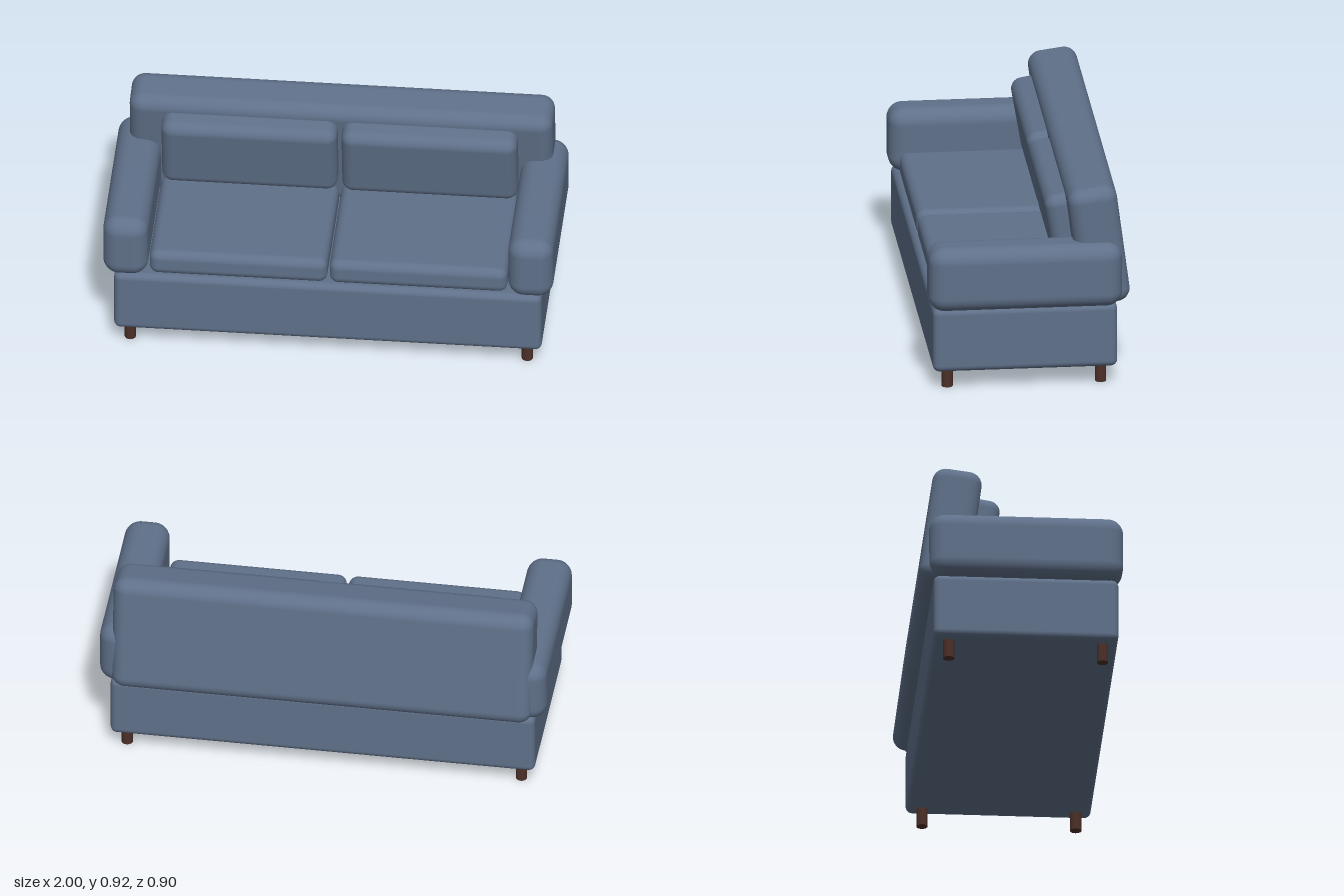
import * as THREE from 'three';
import { RoundedBoxGeometry } from 'three/addons/geometries/RoundedBoxGeometry.js';

export function createModel() {
  const sofa = new THREE.Group();
  sofa.name = 'sofa';

  const fabric = new THREE.MeshStandardMaterial({ color: 0x5f7089 });
  fabric.name = 'blue grey fabric';
  const wood = new THREE.MeshStandardMaterial({ color: 0x4c3028 });
  wood.name = 'dark brown wood';

  // Upholstered block: size, centre, edge radius and tilt about x
  function pad(name, [w, h, d], [x, y, z], radius, tilt = 0) {
    const mesh = new THREE.Mesh(new RoundedBoxGeometry(w, h, d, 6, radius), fabric);
    mesh.name = name;
    mesh.position.set(x, y, z);
    mesh.rotation.x = tilt;
    sofa.add(mesh);
  }

  // Base and forward-tilted backrest
  pad('base', [1.9, 0.297, 0.82], [0, 0.2325, 0.02], 0.03);
  pad('backrest', [1.88, 0.55, 0.22], [0, 0.6405, -0.3115], 0.06, 0.13);

  // Mirrored arms, cushions and legs
  for (const [side, s] of [['left', 1], ['right', -1]]) {
    pad(side + 'Arm', [0.2, 0.297, 0.86], [s * 0.9, 0.5225, 0.02], 0.07);
    pad(side + 'SeatCushion', [0.79, 0.12, 0.62], [s * 0.4, 0.432, 0.098], 0.04);
    pad(side + 'BackCushion', [0.78, 0.357, 0.14], [s * 0.4, 0.662, -0.1765], 0.05, 0.17);

    for (const [end, z] of [['Front', 0.362], ['Back', -0.32]]) {
      const leg = new THREE.Mesh(new THREE.CylinderGeometry(0.025, 0.025, 0.1, 20), wood);
      leg.name = side + end + 'Leg';
      leg.position.set(s * 0.882, 0.05, z);
      sofa.add(leg);
    }
  }

  return sofa;
}
